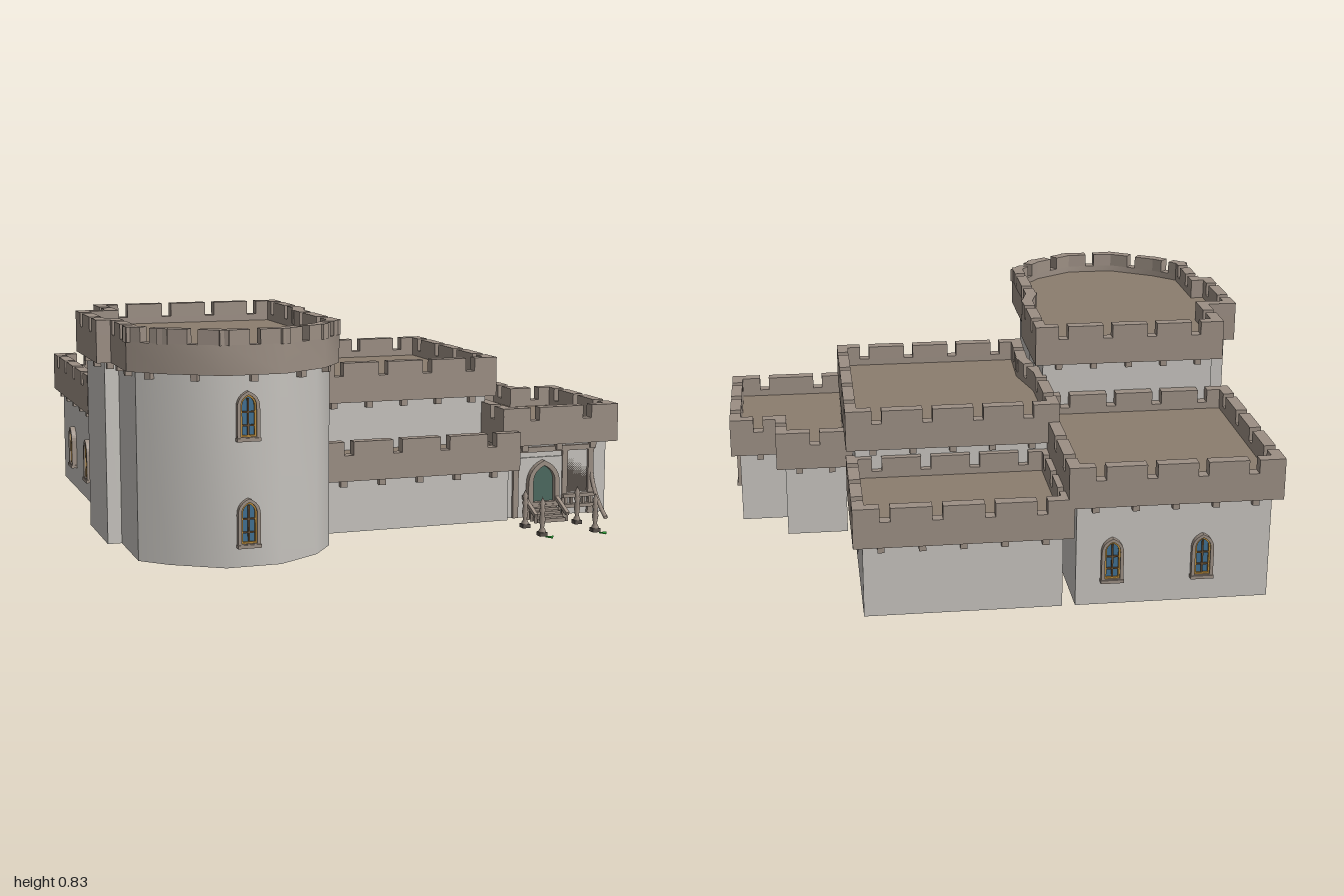
import * as THREE from 'three';
import { toCreasedNormals } from 'three/addons/utils/BufferGeometryUtils.js';

const mat = (color) => new THREE.MeshStandardMaterial({ color, side: THREE.DoubleSide });
const M = {
  wall: mat(0xc6c3be), stone: mat(0x9c8f84), roof: mat(0x8b7d6e), dark: mat(0x57504a),
  wood: mat(0x6a5236), glass: mat(0x3f6f92), gold: mat(0xb78a3c), plate: mat(0x2f3d38),
  green: mat(0x35c040), door: mat(0x4c6a60),
};
const GROUND = 0.03;

function add(parent, name, geometry, material, x = 0, y = 0, z = 0) {
  const mesh = new THREE.Mesh(geometry, material);
  mesh.name = name;
  mesh.position.set(x, y, z);
  parent.add(mesh);
  return mesh;
}
const box = (w, h, d) => new THREE.BoxGeometry(w, h, d);

// Moves a ground outline of [x, z] points inward by d
function inset(pts, d) {
  const n = pts.length;
  let area = 0;
  pts.forEach(([x, z], i) => { const [u, v] = pts[(i + 1) % n]; area += x * v - u * z; });
  const s = Math.sign(area);
  const normal = (a, b) => {
    const l = Math.hypot(b[0] - a[0], b[1] - a[1]);
    return [-s * (b[1] - a[1]) / l, s * (b[0] - a[0]) / l];
  };
  return pts.map((p, i) => {
    const a = normal(pts[(i + n - 1) % n], p), b = normal(p, pts[(i + 1) % n]);
    const k = d / (1 + a[0] * b[0] + a[1] * b[1]);
    return [p[0] + (a[0] + b[0]) * k, p[1] + (a[1] + b[1]) * k];
  });
}

// Upright prism over a ground outline
function prism(pts, y0, y1, hole) {
  const vec = (list) => list.map(([x, z]) => new THREE.Vector2(x, -z));
  const shape = new THREE.Shape(vec(pts));
  if (hole) shape.holes.push(new THREE.Path(vec(hole)));
  const g = new THREE.ExtrudeGeometry(shape, { depth: y1 - y0, bevelEnabled: false });
  g.rotateX(-Math.PI / 2).translate(0, y0, 0);
  return toCreasedNormals(g, 0.75);
}

// Walls, roof, parapet, merlons and corbels of one wing
function wing(name, pts, y0, y1) {
  const g = new THREE.Group();
  g.name = name;
  const roofY = y1 - 0.075, notchY = y1 - 0.05, thick = 0.042;
  add(g, 'walls', prism(inset(pts, 0.033), GROUND, roofY - 0.01), M.wall);
  add(g, 'roof', prism(inset(pts, 0.038), roofY - 0.015, roofY), M.roof);
  add(g, 'parapet', prism(pts, y0, notchY, inset(pts, thick)), M.stone);
  const inner = inset(pts, thick / 2), corbelLine = inset(pts, 0.025);

  const along = (a, b, t, mesh) => {
    mesh.position.x = a[0] + (b[0] - a[0]) * t;
    mesh.position.z = a[1] + (b[1] - a[1]) * t;
    mesh.rotation.y = -Math.atan2(b[1] - a[1], b[0] - a[0]);
  };
  pts.forEach((_, i) => {
    const j = (i + 1) % pts.length;
    const a = inner[i], b = inner[j];
    const len = Math.hypot(b[0] - a[0], b[1] - a[1]);
    const n = len < 0.12 ? 0 : Math.max(1, Math.round(len / 0.18));
    const pitch = n ? len / n : len;
    for (let k = 0; k <= n; k++) {
      const from = n ? Math.max(-thick / 2, (k - 0.5) * pitch + 0.018) : -thick / 2;
      const to = n ? Math.min(len + thick / 2, (k + 0.5) * pitch - 0.018) : len + thick / 2;
      const m = add(g, 'merlon', box(to - from, 0.052, thick), M.stone, 0, y1 - 0.026, 0);
      along(a, b, (from + to) / 2 / len, m);
    }
    const c = Math.max(1, Math.round(len / 0.15));
    for (let k = 0; k < c; k++) {
      const m = add(g, 'corbel', box(0.024, 0.024, 0.03), M.stone, 0, y0 - 0.011, 0);
      along(corbelLine[i], corbelLine[j], (k + 0.5) / c, m);
    }
  });
  return g;
}

// Pointed arch outline with its sill at y = 0
function arch(w, h, Type = THREE.Shape) {
  const s = new Type(), spring = h - w * 0.7;
  s.moveTo(-w / 2, 0);
  s.lineTo(w / 2, 0);
  s.lineTo(w / 2, spring);
  s.quadraticCurveTo(w / 2, h - w * 0.2, 0, h);
  s.quadraticCurveTo(-w / 2, h - w * 0.2, -w / 2, spring);
  return s;
}
function archFrame(w, h, rim, depth) {
  const s = arch(w, h);
  const hole = arch(w - 2 * rim, h - 2 * rim, THREE.Path).getPoints(6);
  s.holes.push(new THREE.Path(hole.map((p) => new THREE.Vector2(p.x, p.y + rim))));
  return new THREE.ExtrudeGeometry(s, { depth, bevelEnabled: false, curveSegments: 6 });
}

// Arched window facing +z before turning
function windowUnit(x, y, z, turn) {
  const g = new THREE.Group();
  g.name = 'window';
  add(g, 'stoneSurround', archFrame(0.078, 0.165, 0.012, 0.022), M.stone);
  const frame = add(g, 'woodFrame', archFrame(0.056, 0.142, 0.007, 0.016), M.gold);
  frame.position.y = 0.011;
  add(g, 'glass', new THREE.ShapeGeometry(arch(0.056, 0.142), 6), M.glass, 0, 0.011, 0.008);
  add(g, 'mullion', box(0.006, 0.13, 0.008), M.wood, 0, 0.076, 0.011);
  for (const t of [0.05, 0.095]) add(g, 'transom', box(0.05, 0.005, 0.008), M.wood, 0, t, 0.011);
  add(g, 'sill', box(0.082, 0.012, 0.028), M.stone, 0, 0.003, 0.012);
  g.position.set(x, y, z);
  g.rotation.y = turn;
  return g;
}

// Entrance: portal, steps, railings, low balustrade and brace
function entrance() {
  const g = new THREE.Group();
  g.name = 'entrance';
  const z = 0.477;
  add(g, 'portalPanel', box(0.19, 0.23, 0.024), M.wall, 0.69, 0.145, z);
  add(g, 'doorSurround', archFrame(0.13, 0.18, 0.02, 0.03), M.stone, 0.695, 0.07, z + 0.005);
  add(g, 'door', new THREE.ShapeGeometry(arch(0.1, 0.15), 6), M.door, 0.695, 0.08, z + 0.015);
  for (let i = 0; i < 5; i++) {
    const h = 0.05 - i * 0.009;
    add(g, 'step', box(0.115, h, 0.024), M.stone, 0.685, GROUND + h / 2, z + 0.025 + i * 0.022);
  }
  for (const x of [0.62, 0.75]) {
    add(g, 'railing', box(0.014, 0.014, 0.125), M.stone, x, 0.085, 0.545).rotation.x = 0.45;
    for (let i = 0; i < 4; i++) {
      const h = 0.075 - i * 0.015;
      add(g, 'baluster', new THREE.CylinderGeometry(0.005, 0.006, h, 8), M.stone, x, GROUND + h / 2, 0.5 + i * 0.032);
    }
  }
  for (const x of [0.585, 0.79, 0.9]) add(g, 'pilaster', box(0.022, 0.27, 0.035), M.stone, x, 0.165, z);
  add(g, 'recess', box(0.09, 0.13, 0.01), M.dark, 0.845, 0.18, z);
  add(g, 'lintel', box(0.35, 0.02, 0.035), M.stone, 0.74, 0.29, z);
  for (const y of [0.065, 0.105]) add(g, 'balustradeRail', box(0.13, 0.014, 0.03), M.stone, 0.845, y, z + 0.015);
  for (let i = 0; i < 5; i++) add(g, 'baluster', box(0.01, 0.04, 0.015), M.stone, 0.795 + i * 0.025, 0.085, z + 0.015);
  const brace = new THREE.QuadraticBezierCurve3(
    new THREE.Vector3(0.905, 0.22, z), new THREE.Vector3(0.905, 0.1, 0.51), new THREE.Vector3(0.905, 0.035, 0.615));
  add(g, 'brace', new THREE.TubeGeometry(brace, 8, 0.009, 6), M.stone);
  return g;
}

// Turned garden post on a square foot
function post(x, z) {
  const g = new THREE.Group();
  g.name = 'gardenPost';
  const profile = [[0, 0], [0.013, 0], [0.013, 0.02], [0.007, 0.03], [0.012, 0.06], [0.008, 0.085],
    [0.013, 0.095], [0.007, 0.105], [0.011, 0.12], [0, 0.145]].map((p) => new THREE.Vector2(...p));
  add(g, 'shaft', new THREE.LatheGeometry(profile, 10), M.stone);
  add(g, 'foot', box(0.03, 0.014, 0.03), M.dark, 0, 0.007, 0);
  g.position.set(x, GROUND - 0.01, z);
  return g;
}

export function createModel() {
  const model = new THREE.Group();
  model.name = 'castle';
  const rect = (x0, x1, z0, z1) => [[x0, z0], [x1, z0], [x1, z1], [x0, z1]];

  // Wings, tallest first
  const towerPlan = [[-0.89, -0.18], [-0.165, -0.18], [-0.165, 0.2], [-0.195, 0.3], [-0.195, 0.7], [-0.29, 0.83],
    [-0.46, 0.935], [-0.67, 0.935], [-0.85, 0.82], [-0.95, 0.72], [-0.95, 0.46], [-1, 0.46], [-1, 0.06], [-0.89, 0.06]];
  model.add(wing('greatTower', towerPlan, 0.68, 0.83));
  model.add(wing('centralKeep', [[-0.21, -0.48], [0.57, -0.48], [0.57, 0.335], [-0.18, 0.335], [-0.17, 0.08], [-0.21, -0.1]], 0.48, 0.63));
  model.add(wing('backWing', rect(-0.925, -0.17, -0.94, -0.15), 0.41, 0.56));
  model.add(wing('backCornerWing', rect(-0.19, 0.57, -0.94, -0.43), 0.3, 0.445));
  model.add(wing('frontTerrace', rect(-0.22, 0.575, 0.2, 0.55), 0.225, 0.37));
  model.add(wing('entranceWing',
    [[0.53, -0.2], [0.825, -0.2], [0.825, -0.035], [1, -0.035], [1, 0.515], [0.52, 0.515]], 0.31, 0.455));
  model.add(entrance());

  // Windows
  for (const y of [0.1, 0.46]) model.add(windowUnit(-0.585, y, 0.899, 0));
  model.add(windowUnit(0.965, 0.1, 0.23, Math.PI / 2));
  for (const z of [-0.65, -0.31]) model.add(windowUnit(-0.89, 0.12, z, -Math.PI / 2));
  for (const x of [-0.33, -0.65]) model.add(windowUnit(x, 0.12, -0.905, Math.PI));

  // Posts and ground markers before the entrance
  for (const x of [0.57, 0.785]) {
    for (const z of [0.61, 0.755]) model.add(post(x, z));
    const marker = add(model, 'marker', new THREE.CylinderGeometry(0.018, 0.018, 0.004, 3), M.green, x, 0.03, 0.825);
    marker.rotation.y = 0;
  }

  // Plates under the floor
  for (const x of [-0.043, 0.373]) for (const z of [0.155, -0.275]) {
    add(model, 'basePlate', box(0.255, 0.022, 0.285), M.plate, x, 0.02, z);
    add(model, 'plateStud', new THREE.CylinderGeometry(0.01, 0.01, 0.012, 10), M.plate, x, 0.006, z);
  }
  return model;
}
